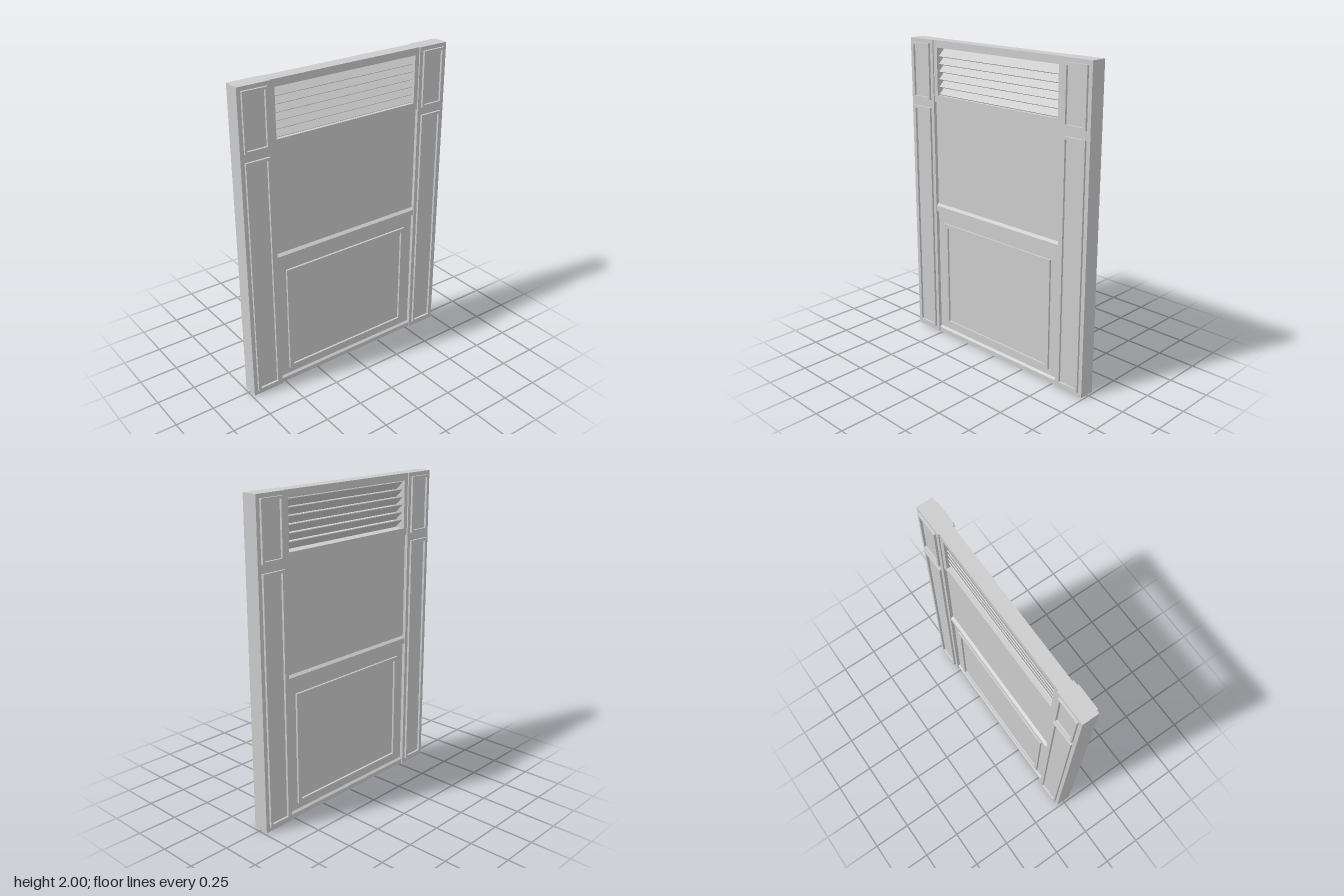
import * as THREE from 'three';

const material = new THREE.MeshStandardMaterial({ color: 0xcccccc, side: THREE.DoubleSide });

function add(parent, geometry, name, x = 0, y = 0, z = 0) {
  const mesh = new THREE.Mesh(geometry, material);
  mesh.name = name;
  mesh.position.set(x, y, z);
  parent.add(mesh);
  return mesh;
}

// Rectangular plate with a rectangular opening, extruded and centred on z
function frame(w, h, holeW, holeH, depth) {
  const rect = (Type, a, b) => {
    const s = new Type();
    s.moveTo(-a / 2, -b / 2).lineTo(a / 2, -b / 2).lineTo(a / 2, b / 2).lineTo(-a / 2, b / 2).closePath();
    return s;
  };
  const shape = rect(THREE.Shape, w, h);
  shape.holes.push(rect(THREE.Path, holeW, holeH));
  return new THREE.ExtrudeGeometry(shape, { depth, bevelEnabled: false }).translate(0, 0, -depth / 2);
}

// Box without its underside
function openBox(w, h, d) {
  const g = new THREE.BoxGeometry(w, h, d);
  const index = Array.from(g.index.array);
  index.splice(18, 6);
  g.setIndex(index);
  return g;
}

// Sheet swept along x from a list of [z, y] points
function sweptSheet(profile, width) {
  const positions = [];
  for (let i = 0; i < profile.length - 1; i++) {
    const [z0, y0] = profile[i], [z1, y1] = profile[i + 1], a = -width / 2, b = width / 2;
    positions.push(a, y0, z0, b, y0, z0, b, y1, z1, a, y0, z0, b, y1, z1, a, y1, z1);
  }
  const g = new THREE.BufferGeometry();
  g.setAttribute('position', new THREE.Float32BufferAttribute(positions, 3));
  g.computeVertexNormals();
  return g;
}

export function createModel() {
  const model = new THREE.Group();
  model.name = 'panelledDoor';

  // Side posts with raised mouldings on both faces
  for (const side of [1, -1]) {
    const post = new THREE.Group();
    post.name = side > 0 ? 'leftPost' : 'rightPost';
    post.position.x = side * 0.631;
    model.add(post);
    add(post, openBox(0.208, 2, 0.102), 'postBody', 0, 1, 0);
    for (const face of [1, -1]) {
      add(post, frame(0.158, 0.355, 0.128, 0.325, 0.014), 'upperPostMoulding', 0, 1.798, face * 0.058);
      add(post, frame(0.158, 1.54, 0.124, 1.506, 0.014), 'lowerPostMoulding', 0, 0.8, face * 0.058);
    }
  }

  // Plinth, lower panel, sloped middle rail and upper panel, hollow and open below
  const front = [
    [0.043, 0], [0.043, 0.03], [0.03, 0.042], [0.03, 0.88],
    [0.048, 0.88], [0.048, 0.918], [0.03, 0.932], [0.03, 1.61],
  ];
  const back = front.map(([z, y]) => [-z, y]).reverse();
  add(model, sweptSheet([...front, ...back], 1.056), 'centrePanels');

  // Raised moulding around the lower panel
  for (const face of [1, -1]) {
    add(model, frame(0.92, 0.724, 0.868, 0.672, 0.014), 'lowerPanelMoulding', 0, 0.442, face * 0.036);
  }

  // Vent frame
  add(model, frame(1.056, 0.39, 0.994, 0.3, 0.086), 'ventFrame', 0, 1.8, 0).geometry.translate(0, 0.005, 0);

  // Louvre slats, low at the front and high at the back
  for (let i = 0; i < 6; i++) {
    const slat = add(model, new THREE.BoxGeometry(1.0, 0.006, 0.072), 'louvreSlat', 0, 1.684 + i * 0.0478, 0);
    slat.rotation.x = 0.78;
  }
  return model;
}
